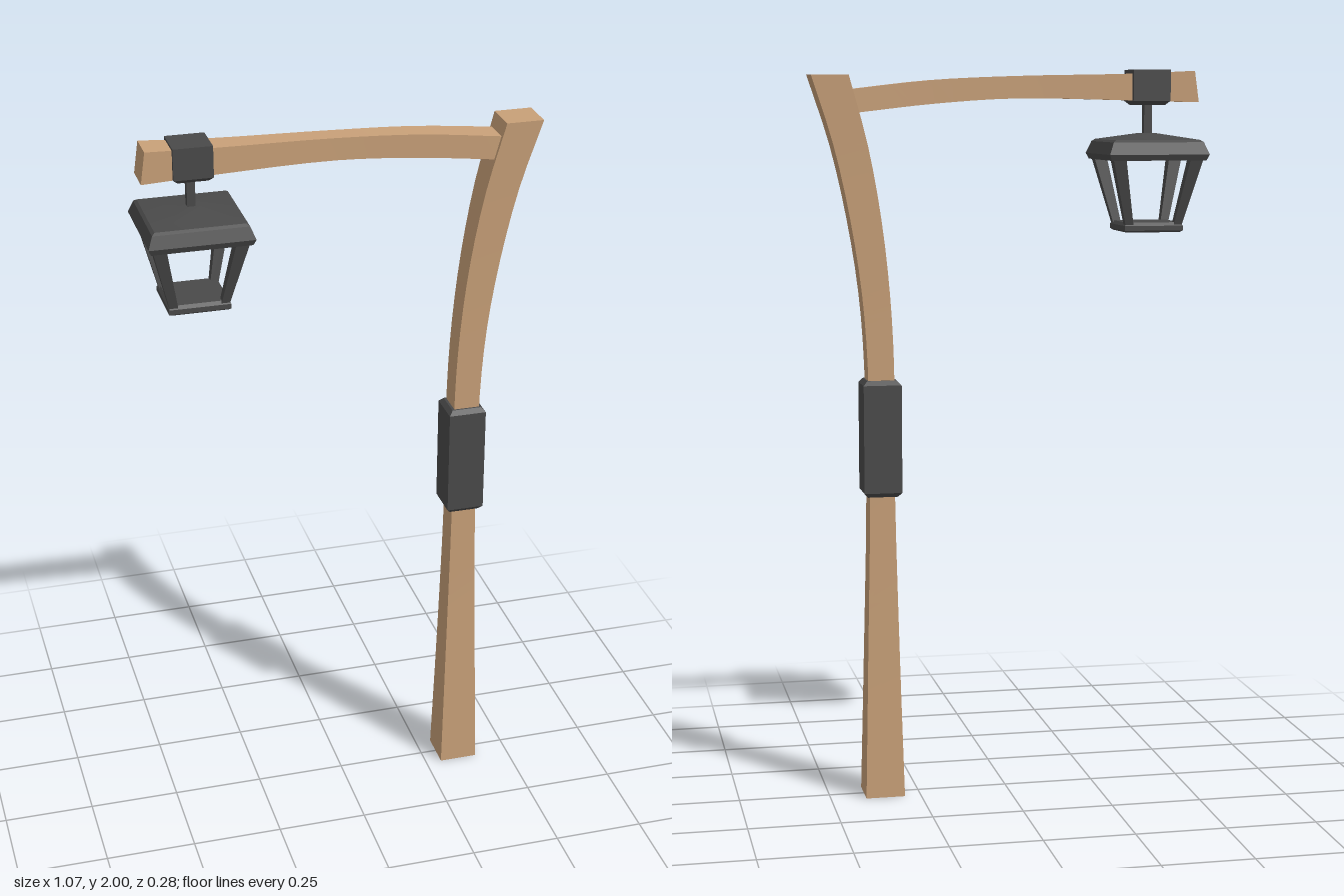
import * as THREE from 'three';
import { toCreasedNormals } from 'three/addons/utils/BufferGeometryUtils.js';

const wood = new THREE.MeshStandardMaterial({ color: 0xc8a078 });
const iron = new THREE.MeshStandardMaterial({ color: 0x4a4a4a });

// Skin a closed solid over four-cornered rings (counter-clockwise seen from the far end).
function loft(rings) {
  const pos = [];
  const quad = (a, b, c, d) => pos.push(...a, ...b, ...c, ...a, ...c, ...d);
  for (let i = 0; i + 1 < rings.length; i++) {
    for (let j = 0; j < 4; j++) {
      const k = (j + 1) % 4;
      quad(rings[i][j], rings[i][k], rings[i + 1][k], rings[i + 1][j]);
    }
  }
  const [a, b, c, d] = rings[0];
  quad(d, c, b, a);
  quad(...rings[rings.length - 1]);
  const g = new THREE.BufferGeometry();
  g.setAttribute('position', new THREE.Float32BufferAttribute(pos, 3));
  return toCreasedNormals(g, 0.3);
}

// Ring at height y from x0 to x1 and z0 to z1.
const flatRing = (y, x0, x1, z0, z1) => [[x0, y, z1], [x1, y, z1], [x1, y, z0], [x0, y, z0]];

// Square solid from [y, half width] steps, centred on x, z = 0.
const stack = (x, steps) => loft(steps.map(([y, h]) => flatRing(y, x - h, x + h, -h, h)));

function add(parent, name, geometry, material) {
  const mesh = new THREE.Mesh(geometry, material);
  mesh.name = name;
  parent.add(mesh);
  return mesh;
}

// Two smooth edge curves sampled at matching steps.
function edges(a, b, n) {
  const curve = (pts) => new THREE.CatmullRomCurve3(pts.map((p) => new THREE.Vector3(...p)));
  const ca = curve(a), cb = curve(b);
  return Array.from({ length: n + 1 }, (_, i) => [ca.getPoint(i / n), cb.getPoint(i / n)]);
}

export function createModel() {
  const model = new THREE.Group();
  model.name = 'lampPost';

  // Curved post: [y, left x, right x, half depth]
  const post = [
    [0, 0.295, 0.403, 0.054], [0.4, 0.305, 0.393, 0.043], [0.85, 0.314, 0.383, 0.036],
    [1.2, 0.314, 0.386, 0.036], [1.4, 0.324, 0.4, 0.037], [1.6, 0.346, 0.43, 0.04],
    [1.8, 0.382, 0.474, 0.045], [1.985, 0.432, 0.533, 0.051],
  ];
  const postEdges = edges(post.map(([y, l, , h]) => [l, y, h]), post.map(([y, , r, h]) => [r, y, h]), 21);
  add(model, 'post', loft(postEdges.map(([l, r]) => flatRing(l.y, l.x, r.x, -l.z, l.z))), wood);

  // Arm: [bottom x, bottom y, top x, top y, half depth]
  const arm = [
    [-0.533, 1.912, -0.521, 1.997, 0.045], [-0.35, 1.917, -0.345, 1.989, 0.037],
    [-0.02, 1.922, -0.02, 1.982, 0.031], [0.2, 1.908, 0.205, 1.971, 0.034],
    [0.415, 1.884, 0.43, 1.946, 0.039],
  ];
  const armEdges = edges(arm.map(([x, y, , , h]) => [x, y, h]), arm.map(([, , x, y, h]) => [x, y, h]), 16);
  add(model, 'arm', loft(armEdges.map(([b, t]) => [
    [b.x, b.y, b.z], [b.x, b.y, -b.z], [t.x, t.y, -t.z], [t.x, t.y, t.z],
  ])), wood);

  // Bevelled iron sleeve around the post
  add(model, 'postSleeve', stack(0.348, [[0.845, 0.041], [0.857, 0.052], [1.153, 0.052], [1.165, 0.041]]), iron);

  // Hanging lantern
  const lantern = new THREE.Group();
  lantern.name = 'lantern';
  lantern.position.x = -0.399;
  model.add(lantern);
  add(lantern, 'armClamp', stack(0, [[1.905, 0.04], [1.916, 0.052], [2, 0.052]]), iron);
  add(lantern, 'hangerRod', stack(0, [[1.81, 0.011], [1.91, 0.011]]), iron);
  add(lantern, 'roof', stack(0, [[1.756, 0.132], [1.772, 0.139], [1.805, 0.126], [1.811, 0.118], [1.828, 0.022]]), iron);
  add(lantern, 'base', stack(0, [[1.56, 0.075], [1.565, 0.082], [1.578, 0.082], [1.587, 0.075]]), iron);

  // Four splayed corner bars, each tapering down to the base
  const bar = loft([flatRing(1.575, 0.056, 0.078, 0.056, 0.078), flatRing(1.765, 0.091, 0.127, 0.091, 0.127)]);
  for (let i = 0; i < 4; i++) add(lantern, 'cornerBar', bar, iron).rotation.y = (i * Math.PI) / 2;

  return model;
}
